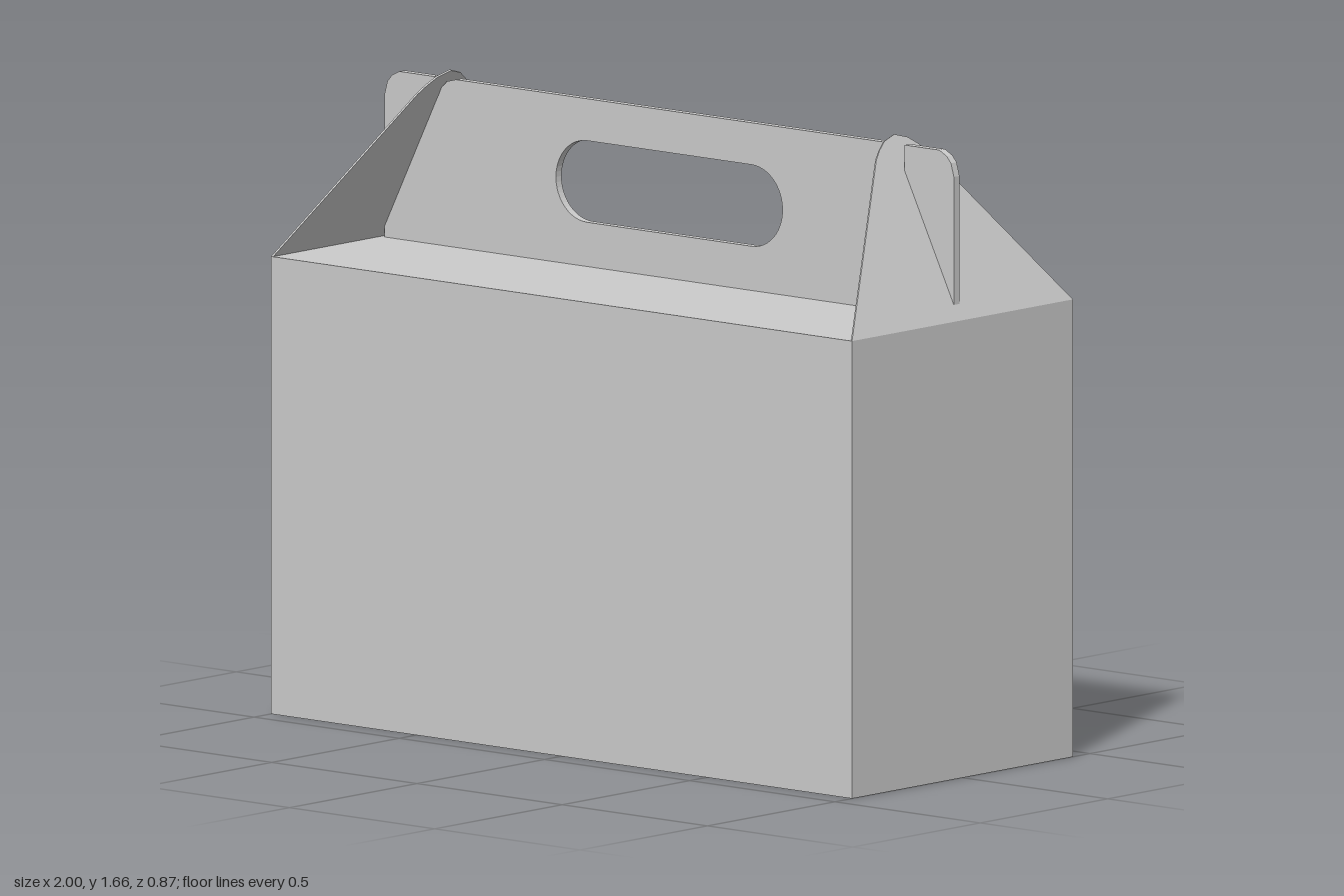
import * as THREE from 'three';

const SHOULDER = 1.2; // height where the box body ends
const PANEL = 0.022;  // handle board thickness
const CARD = 0.005;   // gable flap thickness

export function createModel() {
  const model = new THREE.Group();
  const material = new THREE.MeshStandardMaterial({
    color: 0xcccccc, flatShading: true, side: THREE.DoubleSide,
  });
  const add = (name, geometry) => {
    const mesh = new THREE.Mesh(geometry, material);
    mesh.name = name;
    model.add(mesh);
    return mesh;
  };

  // Carton body with flat shoulders
  add('boxBody', new THREE.BoxGeometry(2, SHOULDER, 0.866).translate(0, SHOULDER / 2, 0));

  // Upright handle board: right half of the outline, then mirrored
  const half = [
    [0.98, SHOULDER], [0.98, 1.575], [0.97, 1.61], [0.955, 1.627], [0.93, 1.64],
    [0.81, 1.64], [0.81, 1.575], [0.795, 1.59], [0.785, 1.613], [0.765, 1.632], [0.735, 1.64],
  ];
  const outline = [...half, ...half.map(([x, y]) => [-x, y]).reverse()];
  const board = new THREE.Shape(outline.map(([x, y]) => new THREE.Vector2(x, y)));

  // Rounded grip slot
  const r = 0.107, cx = 0.283, cy = 1.423;
  const grip = new THREE.Path();
  grip.absarc(cx, cy, r, -Math.PI / 2, Math.PI / 2);
  grip.absarc(-cx, cy, r, Math.PI / 2, Math.PI * 1.5);
  grip.closePath();
  board.holes.push(grip);
  add('handleBoard', new THREE.ExtrudeGeometry(board, {
    depth: PANEL, bevelEnabled: false, curveSegments: 12,
  }).translate(0, 0, -PANEL / 2));

  // Leaning gable flaps that lock into the handle notches
  const rise = 0.462, lean = 0.235;
  const stretch = Math.hypot(rise, lean) / rise;
  const side = [[0.433, 0], [0.1, 0.41], [0.075, 0.431], [0.045, 0.45]];
  const profile = [...side, [0, rise], ...side.map(([z, y]) => [-z, y]).reverse()];
  const gable = new THREE.Shape(profile.map(([z, y]) => new THREE.Vector2(z, y * stretch)));
  const gableGeometry = new THREE.ExtrudeGeometry(gable, { depth: CARD, bevelEnabled: false })
    .translate(0, 0, -CARD)
    .rotateY(Math.PI / 2)
    .rotateZ(Math.atan2(lean, rise))
    .translate(1, SHOULDER, 0);
  add('leftGableFlap', gableGeometry);
  add('rightGableFlap', gableGeometry).rotation.y = Math.PI;

  return model;
}
